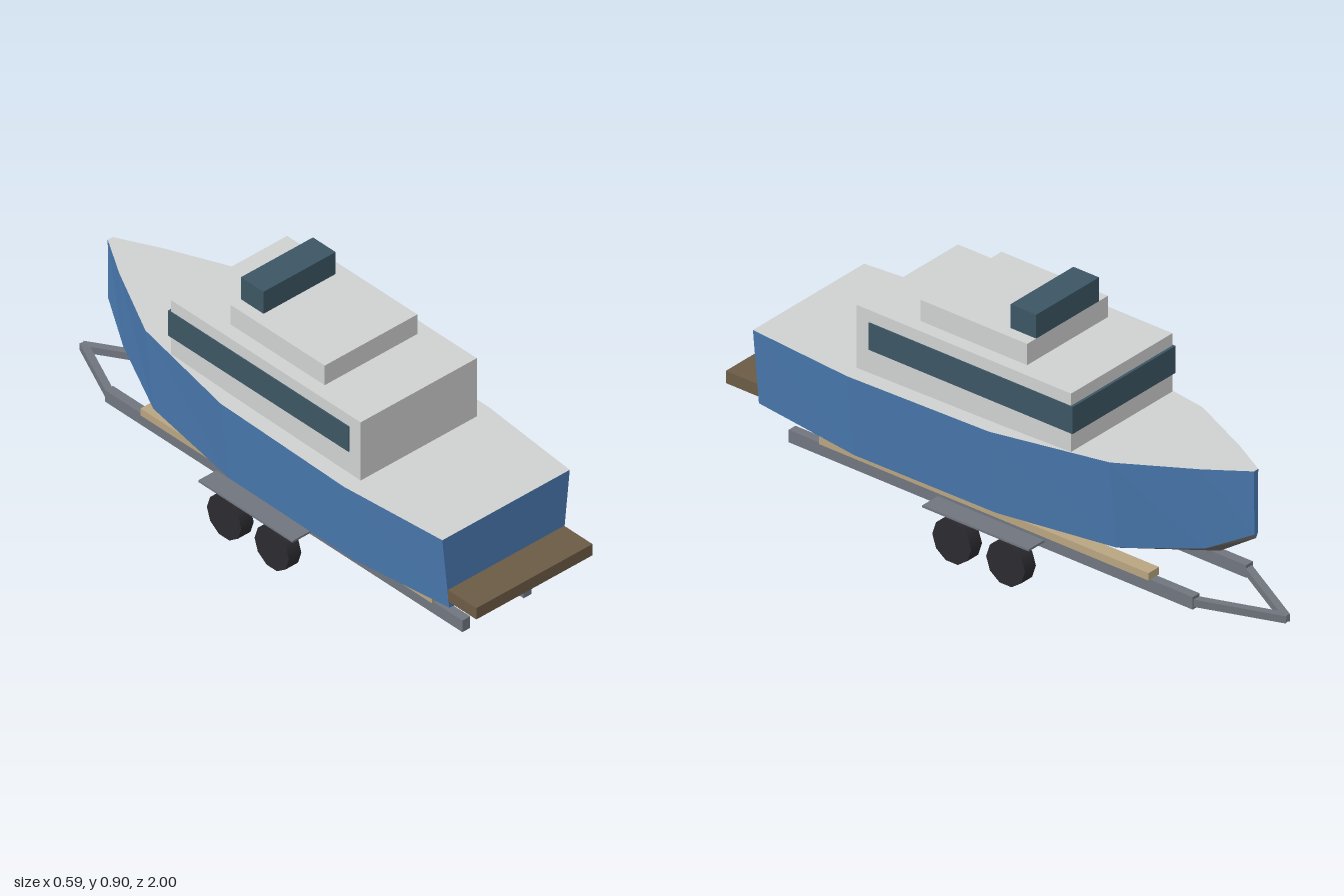
import * as THREE from 'three';

const mat = (name, color, side = THREE.FrontSide) => {
  const m = new THREE.MeshStandardMaterial({ color, side });
  m.name = name;
  return m;
};

export function createModel() {
  const boat = new THREE.Group();
  boat.name = 'boatOnTrailer';
  const blue = mat('hullBlue', 0x4a7ab0);
  const grey = mat('bottomGrey', 0x6a6866);
  const white = mat('deckWhite', 0xcfd0d0);
  const glass = mat('windowTeal', 0x3c5663);
  const teak = mat('platformBrown', 0x6b5b45);
  const metal = mat('trailerMetal', 0x70757e);
  const wood = mat('bunkWood', 0xb8a480);
  const rubber = mat('tyreBlack', 0x2b2b30);

  const add = (name, geometry, material) => {
    const mesh = new THREE.Mesh(geometry, material);
    mesh.name = name;
    boat.add(mesh);
    return mesh;
  };
  // Box given by its lower and upper limits on each axis
  const box = (name, material, [x0, x1], [y0, y1], [z0, z1]) =>
    add(name, new THREE.BoxGeometry(x1 - x0, y1 - y0, z1 - z0), material)
      .position.set((x0 + x1) / 2, (y0 + y1) / 2, (z0 + z1) / 2);

  // Hull stations, stern to bow: z, sheer x and y, chine x and y, keel y
  const stations = [
    [0.875, 0.26, 0.527, 0.232, 0.262, 0.222],
    [0.48, 0.295, 0.528, 0.26, 0.24, 0.168],
    [-0.07, 0.29, 0.536, 0.255, 0.24, 0.17],
    [-0.48, 0.217, 0.548, 0.185, 0.24, 0.195],
    [-0.73, 0.092, 0.561, 0.076, 0.28, 0.24],
    [-0.87, 0.01, 0.569, 0.008, 0.35, 0.335],
  ].map(([z, sx, sy, cx, cy, ky]) => ({
    sheer: [sx, sy, z], chine: [cx, cy, z], keel: [0, ky, z], mid: [0, sy, z],
  }));
  // Flat-faced surface made of polygons, mirrored across x = 0
  const mirrored = (polys) => {
    const pos = [];
    const fan = (p) => {
      for (let i = 1; i < p.length - 1; i++) pos.push(...p[0], ...p[i], ...p[i + 1]);
    };
    polys.forEach((p) => {
      fan(p);
      fan(p.map(([x, y, z]) => [-x, y, z]).reverse());
    });
    const g = new THREE.BufferGeometry();
    g.setAttribute('position', new THREE.Float32BufferAttribute(pos, 3));
    g.computeVertexNormals();
    return g;
  };
  // Strip between two hull lines; upper line first on the +x side
  const strip = (a, b) => stations.slice(1).map((s, i) =>
    [stations[i][a], stations[i][b], s[b], s[a]]);
  const end = (s) => [s.mid, s.keel, s.chine, s.sheer];
  add('hullSides', mirrored(strip('sheer', 'chine')), blue);
  add('hullBottom', mirrored(strip('chine', 'keel')), grey);
  add('deck', mirrored(strip('mid', 'sheer')), white);
  add('transom', mirrored([end(stations[0])]), blue);
  add('stem', mirrored([end(stations[5]).reverse()]), blue);

  // Superstructure
  box('cabin', white, [-0.237, 0.237], [0.525, 0.745], [-0.346, 0.49]);
  box('cabinRoof', white, [-0.189, 0.189], [0.745, 0.818], [-0.135, 0.28]);
  box('flybridgeScreen', glass, [-0.147, 0.147], [0.818, 0.9], [-0.135, -0.035]);
  box('frontWindow', glass, [-0.237, 0.237], [0.61, 0.703], [-0.355, -0.346]);
  box('swimPlatform', teak, [-0.237, 0.237], [0.288, 0.33], [0.875, 1]);

  // Trailer and side parts, mirrored
  const tip = new THREE.Vector3(0, 0.102, -0.985);
  for (const s of [-1, 1]) {
    const side = s > 0 ? 'left' : 'right';
    const span = (a, b) => (s > 0 ? [a, b] : [-b, -a]);
    box(side + 'Window', glass, span(0.237, 0.241), [0.61, 0.703], [-0.355, 0.44]);
    box(side + 'Rail', metal, span(0.109, 0.141), [0.102, 0.145], [-0.74, 0.835]);
    box(side + 'Bunk', wood, span(0.1, 0.149), [0.145, 0.171], [-0.575, 0.71]);
    box(side + 'Fender', metal, span(0.187, 0.26), [0.157, 0.164], [-0.2, 0.215]);

    const start = new THREE.Vector3(s * 0.125, 0.122, -0.735);
    const tongue = add(side + 'Tongue',
      new THREE.BoxGeometry(0.025, 0.025, start.distanceTo(tip) + 0.01), metal);
    tongue.position.copy(start).add(tip).multiplyScalar(0.5);
    tongue.lookAt(tip);

    for (const [end, z] of [['Front', -0.1], ['Rear', 0.11]]) {
      const wheel = new THREE.CylinderGeometry(0.0757, 0.0757, 0.051, 10);
      wheel.rotateZ(Math.PI / 2);
      add(side + end + 'Wheel', wheel, rubber).position.set(s * 0.2225, 0.072, z);
    }
  }
  return boat;
}
